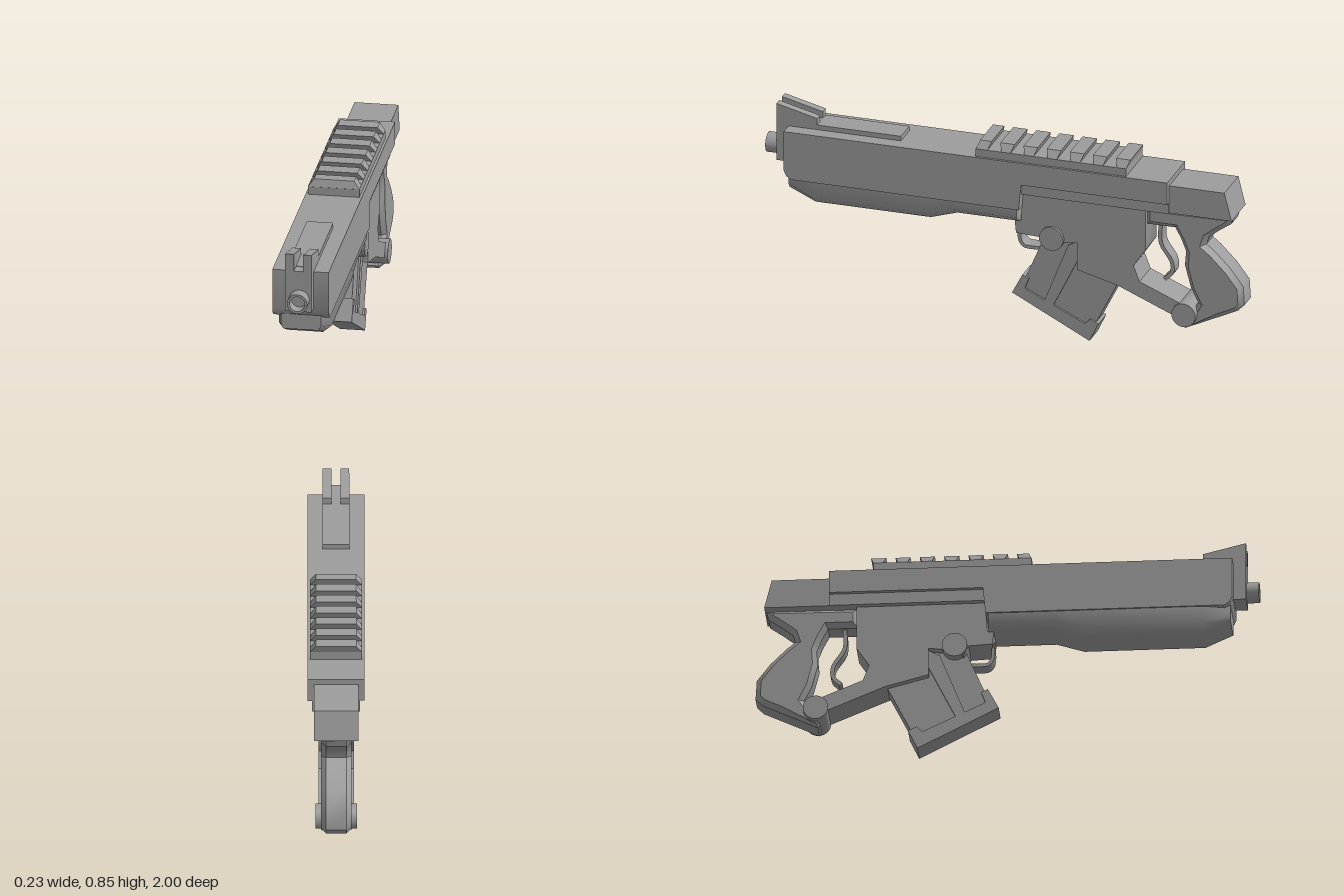
import * as THREE from 'three';
import { toCreasedNormals } from 'three/addons/utils/BufferGeometryUtils.js';

const gunmetal = new THREE.MeshStandardMaterial({ color: 0x9c9c9c, side: THREE.DoubleSide });

export function createModel() {
  const model = new THREE.Group();

  const add = (name, geometry) => {
    const mesh = new THREE.Mesh(geometry, gunmetal);
    mesh.name = name;
    model.add(mesh);
  };

  // Side outline of [z, y] points, extruded across x and centred (or moved to x)
  const plate = (name, points, halfWidth, bevel = 0, x = 0) => {
    const shape = new THREE.Shape(points.map(([z, y]) => new THREE.Vector2(z, y)));
    const depth = 2 * (halfWidth - bevel);
    const geo = new THREE.ExtrudeGeometry(shape, {
      depth, bevelEnabled: bevel > 0, bevelSize: bevel, bevelThickness: bevel,
      bevelOffset: -bevel, bevelSegments: 1,
    });
    geo.translate(0, 0, -depth / 2).rotateY(-Math.PI / 2).translate(x, 0, 0);
    add(name, toCreasedNormals(geo, 0.65));
  };

  // Thin bent strip following a [z, y] path
  const strip = (name, path, halfWidth, thickness) => {
    const curve = new THREE.CatmullRomCurve3(path.map(([z, y]) => new THREE.Vector3(z, y, 0)), false, 'centripetal');
    const outer = [], inner = [];
    for (let i = 0; i <= 16; i++) {
      const p = curve.getPoint(i / 16), t = curve.getTangent(i / 16);
      const nx = -t.y * thickness / 2, ny = t.x * thickness / 2;
      outer.push([p.x + nx, p.y + ny]);
      inner.unshift([p.x - nx, p.y - ny]);
    }
    plate(name, [...outer, ...inner], halfWidth);
  };

  // Loft of equal-length rings of [x, y, z], capped at both ends
  const loft = (name, rings, crease) => {
    const n = rings[0].length, index = [];
    for (let r = 0; r < rings.length - 1; r++) {
      for (let i = 0; i < n; i++) {
        const a = r * n + i, b = r * n + (i + 1) % n;
        index.push(a, a + n, b, b, a + n, b + n);
      }
    }
    const last = (rings.length - 1) * n;
    for (let i = 1; i < n - 1; i++) index.push(0, i, i + 1, last, last + i + 1, last + i);
    const geo = new THREE.BufferGeometry();
    geo.setAttribute('position', new THREE.Float32BufferAttribute(rings.flat(2), 3));
    geo.setIndex(index);
    add(name, toCreasedNormals(geo, crease));
  };

  // Upper body
  plate('upperBody', [[0.9, 0.757], [0.9, 0.59], [0.89, 0.567], [0.87, 0.553], [-0.08, 0.553],
    [-0.09, 0.663], [-0.7, 0.663], [-0.7, 0.757]], 0.113);
  plate('bodyLedge', [[-0.085, 0.67], [-0.085, 0.615], [-0.7, 0.615], [-0.7, 0.67]], 0.095);
  plate('rearBlock', [[-0.69, 0.735], [-0.69, 0.617], [-0.96, 0.617], [-0.93, 0.735]], 0.088);

  // Lower handguard: z, half width, chamfer start, bottom
  loft('handguard', [
    [0.89, 0.08, 0.52, 0.503],
    [0.78, 0.106, 0.483, 0.453],
    [0.3, 0.106, 0.483, 0.453],
    [0.19, 0.106, 0.515, 0.488],
    [-0.07, 0.106, 0.515, 0.488],
  ].map(([z, w, side, low]) => [
    [-w, 0.58, z], [-w, side, z], [-0.07, low, z], [0.07, low, z], [w, side, z], [w, 0.58, z],
  ]), 1);

  // Front sight, its two ears and the strip behind it
  plate('frontSightBase', [[0.95, 0.775], [0.95, 0.603], [0.88, 0.603], [0.88, 0.75], [0.78, 0.75], [0.78, 0.775]], 0.053);
  for (const s of [-1, 1]) {
    plate('frontSightEar', [[0.95, 0.847], [0.95, 0.77], [0.78, 0.77], [0.78, 0.805]], 0.0175, 0, s * 0.0355);
  }
  plate('topStrip', [[0.9, 0.777], [0.9, 0.75], [0.43, 0.75], [0.43, 0.777]], 0.053);

  // Hollow muzzle tube
  const muzzle = new THREE.LatheGeometry([[0.041, 0], [0.041, 0.07], [0.031, 0.07], [0.031, 0.01], [0, 0.01]]
    .map(([r, h]) => new THREE.Vector2(r, h)), 32);
  muzzle.rotateX(Math.PI / 2).translate(0.003, 0.655, 0.93);
  add('muzzle', toCreasedNormals(muzzle, 0.5));

  // Top rail: base and seven undercut teeth with sloped sides, the first sloped at the front
  plate('railBase', [[0.103, 0.79], [0.103, 0.75], [-0.525, 0.75], [-0.525, 0.79]], 0.103);
  for (let i = 0; i < 7; i++) {
    const z = 0.073 - i * 0.0965;
    const ring = (bottom, top) => {
      const mid = bottom + (top - bottom) * 0.1;
      return [
        [0.103, 0.787, z + bottom], [-0.103, 0.787, z + bottom], [-0.103, 0.79, z + mid],
        [-0.08, 0.82, z + top], [0.08, 0.82, z + top], [0.103, 0.79, z + mid],
      ].reverse();
    };
    loft('railTooth', [i === 0 ? ring(0.03, 0.018) : ring(0.018, 0.03), ring(-0.018, -0.03)], 0.3);
  }

  // Receiver with the lower guard bar
  plate('receiver', [[-0.085, 0.625], [-0.075, 0.49], [-0.05, 0.487], [-0.055, 0.435], [-0.15, 0.43],
    [-0.17, 0.39], [-0.26, 0.42], [-0.31, 0.425], [-0.31, 0.31], [-0.48, 0.265], [-0.72, 0.165],
    [-0.76, 0.18], [-0.75, 0.22], [-0.57, 0.295], [-0.545, 0.36], [-0.595, 0.435], [-0.595, 0.625]], 0.07);

  // Round pivot pins
  for (const [z, y] of [[-0.205, 0.433], [-0.757, 0.179]]) {
    const pin = new THREE.CylinderGeometry(0.05, 0.05, 0.164, 32);
    pin.rotateZ(Math.PI / 2).translate(0, y, z);
    add('pivotPin', pin);
  }

  // Pistol grip with chamfered edges
  plate('grip', [[-0.59, 0.62], [-0.59, 0.537], [-0.71, 0.537], [-0.735, 0.49], [-0.755, 0.44], [-0.75, 0.38],
    [-0.775, 0.285], [-0.805, 0.225], [-0.74, 0.12], [-0.75, 0.107], [-0.97, 0.212], [-0.998, 0.24],
    [-0.993, 0.32], [-0.94, 0.39], [-0.875, 0.455], [-0.84, 0.483], [-0.85, 0.515], [-0.895, 0.55],
    [-0.945, 0.585], [-0.955, 0.62]], 0.06, 0.02);

  // Trigger and front catch
  strip('trigger', [[-0.645, 0.55], [-0.645, 0.455], [-0.69, 0.38], [-0.692, 0.335], [-0.66, 0.3]], 0.028, 0.016);
  strip('frontCatch', [[-0.055, 0.46], [-0.058, 0.39], [-0.075, 0.366], [-0.11, 0.362], [-0.165, 0.365]], 0.031, 0.014);

  // Magazine, side rib and base plate
  plate('magazine', [[-0.16, 0.41], [-0.075, 0.21], [-0.06, 0.165], [-0.355, 0.025], [-0.38, 0.08],
    [-0.5, 0.32], [-0.31, 0.42]], 0.042);
  plate('magazineRib', [[-0.31, 0.425], [-0.265, 0.4], [-0.165, 0.145], [-0.2, 0.125], [-0.31, 0.35]], 0.05);
  plate('magazineBase', [[-0.032, 0.165], [-0.075, 0.248], [-0.102, 0.235], [-0.085, 0.19], [-0.335, 0.072],
    [-0.358, 0.095], [-0.392, 0.078], [-0.355, 0]], 0.05);

  return model;
}
